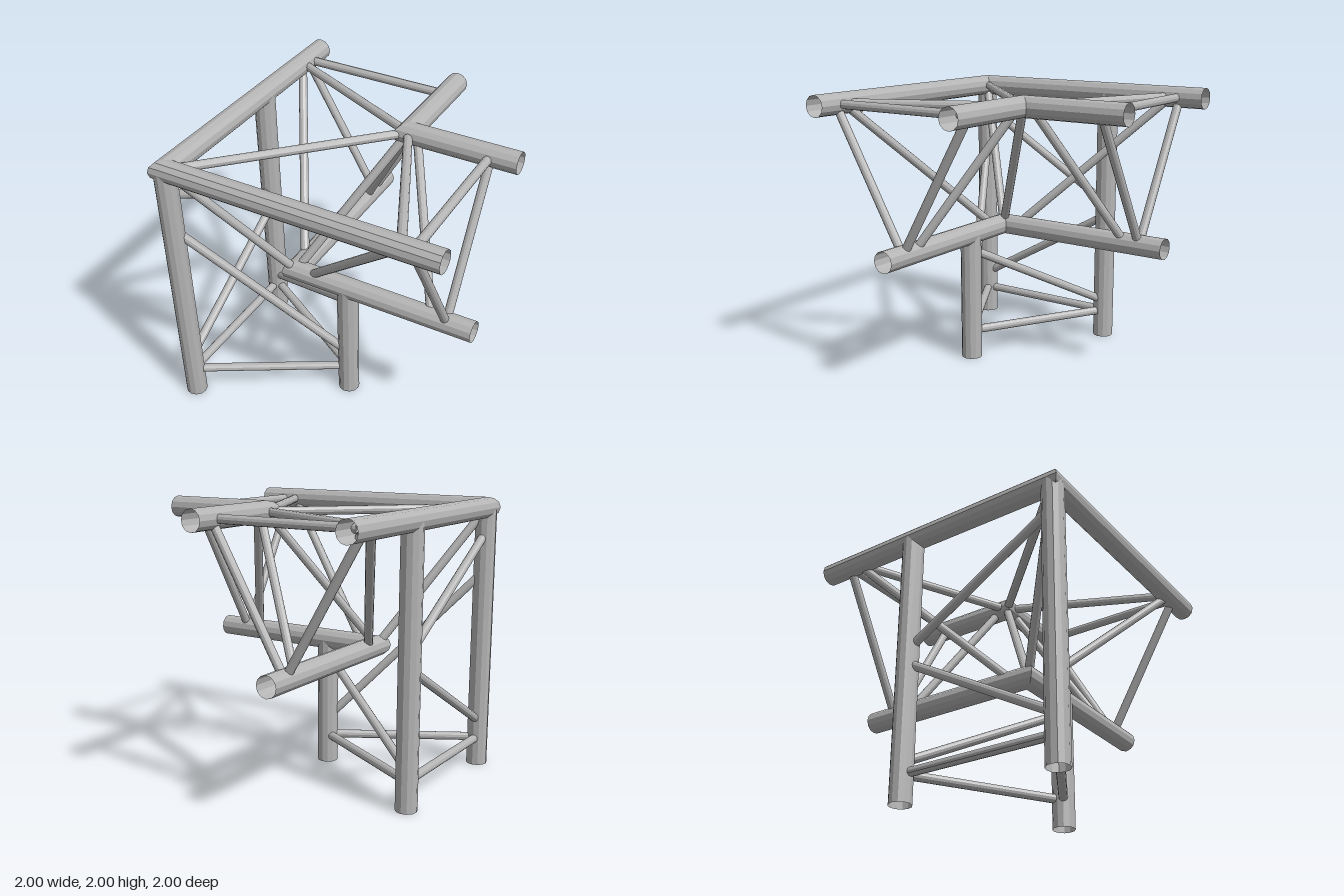
import * as THREE from 'three';

const R = 0.076, BRACE_R = 0.031, SIDES = 12;
const V = (x, y, z) => new THREE.Vector3(x, y, z);

export function createModel() {
  const model = new THREE.Group();
  model.name = 'trussCorner';
  const steel = new THREE.MeshStandardMaterial({ color: 0xb4b4b4 });
  steel.name = 'steelGrey';
  steel.flatShading = true;
  steel.side = THREE.DoubleSide;

  // Open tube between two points
  function tube(name, a, b, radius) {
    const dir = b.clone().sub(a);
    const geo = new THREE.CylinderGeometry(radius, radius, dir.length(), SIDES, 1, true);
    geo.applyQuaternion(new THREE.Quaternion().setFromUnitVectors(V(0, 1, 0), dir.clone().normalize()));
    const mid = a.clone().add(b).multiplyScalar(0.5);
    geo.translate(mid.x, mid.y, mid.z);
    const mesh = new THREE.Mesh(geo, steel);
    mesh.name = name;
    model.add(mesh);
    return geo;
  }

  // Thin brace between two chord axes, ending inside the chord walls
  function brace(name, a, b) {
    const inset = b.clone().sub(a).setLength(0.045);
    tube(name, a.clone().add(inset), b.clone().sub(inset), BRACE_R);
  }

  // The two horizontal arms mirror each other across the diagonal x = -z
  const mirror = (p) => V(-p.z, p.y, -p.x);

  // Corner points of the three chord pairs
  const outer = V(-0.924, 1.924, 0.924);
  const inner = V(0.209, 1.924, -0.209);
  const lower = V(-0.358, 0.944, 0.358);

  // Horizontal chords, mitred at each corner
  for (const [name, c] of [['outerChord', outer], ['innerChord', inner], ['lowerChord', lower]]) {
    const ends = [V(1, c.y, c.z), V(c.x, c.y, -1)];
    ends.forEach((end, i) => {
      const geo = tube(name + (i ? 'Back' : 'Side'), c, end, R);
      const pos = geo.attributes.position;
      for (let k = 0; k < pos.count; k++) {
        const dx = pos.getX(k) - c.x, dz = pos.getZ(k) - c.z;
        if (i === 0 && Math.abs(dx) < 0.01) pos.setX(k, c.x - dz);
        if (i === 1 && Math.abs(dz) < 0.01) pos.setZ(k, c.z - dx);
      }
      geo.computeVertexNormals();
    });
  }

  // Legs
  const legA = (y) => V(outer.x, y, outer.z);
  const legB = (y) => V(outer.x, y, inner.z);
  const legC = (y) => V(0.056, y, lower.z);
  tube('cornerLeg', legA(0), legA(outer.y), R);
  tube('backLeg', legB(0), legB(outer.y), R);
  tube('innerLeg', legC(0), legC(lower.y), R);

  // Leg braces: bottom triangle, then diagonals
  const legBraces = [
    [legA(0.203), legB(0.203)], [legB(0.203), legC(0.203)], [legC(0.203), legA(0.203)],
    [legA(1.465), legC(0.335)], [legB(0.28), legC(0.83)],
    [legA(0.33), legB(0.97)], [legB(1.07), legA(1.745)],
  ];
  for (const [a, b] of legBraces) brace('legBrace', a, b);

  // Arm braces: end triangle and one diagonal per face, for both arms
  const onOuter = (x) => V(x, outer.y, outer.z);
  const onInner = (x) => V(x, inner.y, inner.z);
  const onLower = (x) => V(x, lower.y, lower.z);
  const armBraces = [
    [onOuter(0.8), onInner(0.8)], [onInner(0.8), onLower(0.8)], [onLower(0.8), onOuter(0.8)],
    [onInner(0.209), onOuter(0.73)], [onLower(-0.24), onOuter(0.73)], [onInner(0.275), onLower(0.69)],
  ];
  for (const [a, b] of armBraces) {
    brace('sideArmBrace', a, b);
    brace('backArmBrace', mirror(a), mirror(b));
  }

  // Braces joining the three corners
  brace('cornerBrace', outer, inner);
  brace('cornerBrace', outer, lower);
  brace('cornerBrace', inner, lower);

  return model;
}
